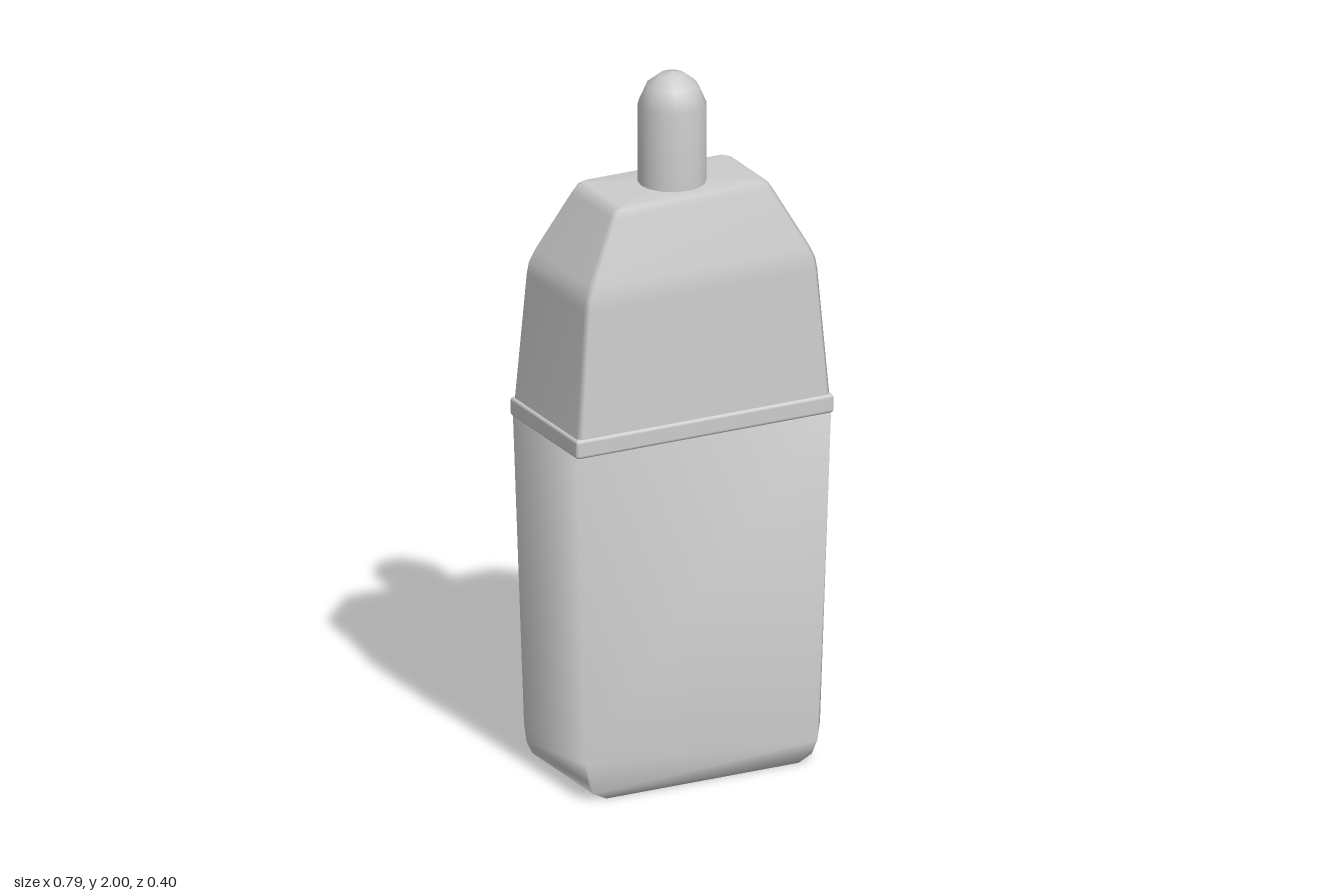
import * as THREE from 'three';
import { mergeVertices } from 'three/addons/utils/BufferGeometryUtils.js';
import { RoundedBoxGeometry } from 'three/addons/geometries/RoundedBoxGeometry.js';

// Weld all corners so the shading runs smoothly around them
function smooth(geometry) {
  geometry.deleteAttribute('uv');
  geometry.deleteAttribute('normal');
  const welded = mergeVertices(geometry, 1e-4);
  welded.computeVertexNormals();
  return welded;
}

// Stack of chamfered rectangles [y, halfWidth, halfDepth], closed on top
function loftRectangles(levels, chamfer) {
  const positions = [];
  const index = [];
  for (const [y, w, d] of levels) {
    const a = w - chamfer, b = d - chamfer;
    const ring = [[w, b], [w, -b], [a, -d], [-a, -d], [-w, -b], [-w, b], [-a, d], [a, d]];
    for (const [x, z] of ring) positions.push(x, y, z);
  }
  const last = (levels.length - 1) * 8;
  for (let k = 0; k < last; k += 8) {
    for (let i = 0; i < 8; i++) {
      const j = (i + 1) % 8;
      index.push(k + i, k + j, k + 8 + j, k + i, k + 8 + j, k + 8 + i);
    }
  }
  const top = positions.length / 3;
  positions.push(0, levels[levels.length - 1][0], 0);
  for (let i = 0; i < 8; i++) index.push(top, last + i, last + (i + 1) % 8);
  const geometry = new THREE.BufferGeometry();
  geometry.setAttribute('position', new THREE.Float32BufferAttribute(positions, 3));
  geometry.setIndex(index);
  geometry.computeVertexNormals();
  return geometry;
}

export function createModel() {
  const model = new THREE.Group();
  const grey = new THREE.MeshStandardMaterial({ color: 0xcccccc });
  grey.name = 'plain grey';
  const add = (name, geometry) => {
    const mesh = new THREE.Mesh(geometry, grey);
    mesh.name = name;
    model.add(mesh);
    return mesh;
  };

  // Lower body: tapered slab with rounded bottom corners
  const half = [[0.295, 0], [0.335, 0.02], [0.352, 0.055], [0.36, 0.11], [0.39, 1.03]];
  const outline = [...half, ...half.slice().reverse().map(([x, y]) => [-x, y])];
  const body = new THREE.ExtrudeGeometry(
    new THREE.Shape(outline.map(([x, y]) => new THREE.Vector2(x, y))),
    { depth: 2, bevelEnabled: false }
  );
  body.translate(0, 0, -1);
  const p = body.attributes.position;
  for (let i = 0; i < p.count; i++) p.setZ(i, p.getZ(i) * (0.178 + 0.01 * p.getY(i)));
  add('lowerBody', smooth(body));

  // Raised band between body and shoulder
  add('band', new RoundedBoxGeometry(0.79, 0.055, 0.396, 2, 0.01)).position.y = 1.033;

  // Upper body narrowing to a flat shoulder
  add('shoulder', loftRectangles([
    [1.03, 0.39, 0.193],
    [1.42, 0.358, 0.179],
    [1.455, 0.353, 0.176],
    [1.49, 0.338, 0.169],
    [1.655, 0.25, 0.124],
    [1.675, 0.238, 0.118],
    [1.685, 0.22, 0.111],
  ], 0.012));

  // Round-tipped nozzle
  const nozzle = [[0.094, 1.67], [0.094, 1.91], [0.07, 1.965], [0.035, 1.993], [0, 2]];
  add('nozzle', new THREE.LatheGeometry(nozzle.map(([r, y]) => new THREE.Vector2(r, y)), 16));

  return model;
}
